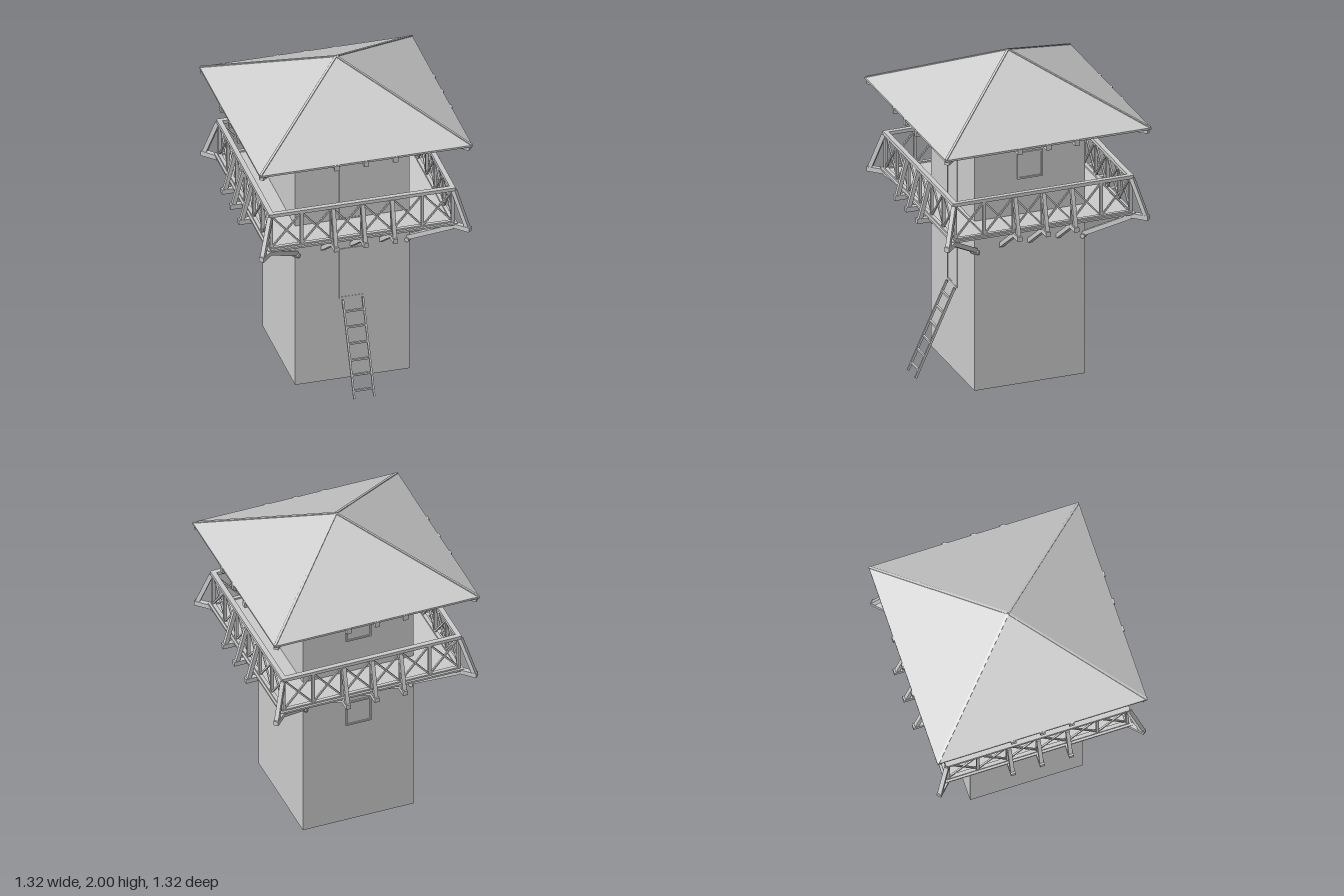
import * as THREE from 'three';

const stone = new THREE.MeshStandardMaterial({ color: 0xcccccc, flatShading: true });
stone.name = 'plain grey';

const V = (x, y, z) => new THREE.Vector3(x, y, z);

function add(parent, name, geometry) {
  const mesh = new THREE.Mesh(geometry, stone);
  mesh.name = name;
  parent.add(mesh);
  return mesh;
}

function block(parent, name, w, h, d, x, y, z) {
  const mesh = add(parent, name, new THREE.BoxGeometry(w, h, d));
  mesh.position.set(x, y, z);
  return mesh;
}

// Square-cut timber running from a to b
function beam(parent, name, a, b, w, h = w) {
  const mesh = add(parent, name, new THREE.BoxGeometry(w, h, a.distanceTo(b)));
  mesh.position.copy(a).add(b).multiplyScalar(0.5);
  mesh.lookAt(b);
  return mesh;
}

// Rectangular frame with a slightly recessed pane, on the +z wall
function opening(parent, name, y0, y1, depth) {
  const half = 0.08, rim = 0.01;
  const outline = (hw, lo, hi) => [[-hw, lo], [hw, lo], [hw, hi], [-hw, hi]].map(p => new THREE.Vector2(...p));
  const shape = new THREE.Shape(outline(half, y0, y1));
  shape.holes.push(new THREE.Path(outline(half - rim, y0 + rim, y1 - rim).reverse()));
  const frame = add(parent, name + 'Frame', new THREE.ExtrudeGeometry(shape, { depth, bevelEnabled: false }));
  frame.position.z = 0.35;
  block(parent, name + 'Pane', 2 * (half - rim), y1 - y0 - 2 * rim, 0.002, 0, (y0 + y1) / 2, 0.351);
}

// Everything that repeats on each of the four sides, built facing +z
function buildSide() {
  const side = new THREE.Group();
  side.name = 'towerSide';

  for (const x of [-0.18, 0, 0.18]) {
    block(side, 'roofRafter', 0.03, 0.035, 0.315, x, 1.637, 0.5);
    block(side, 'balconyJoist', 0.03, 0.03, 0.31, x, 1.073, 0.495);
    beam(side, 'balconyBrace', V(x, 0.91, 0.345), V(x, 1.065, 0.56), 0.026);
    beam(side, 'railingStrut', V(x, 1.08, 0.628), V(x, 1.31, 0.568), 0.024);
  }

  // Diagonal timbers at one corner
  block(side, 'cornerKnob', 0.001, 0.001, 0.001, 0.34, 0.89, 0.34);
  beam(side, 'cornerRafter', V(0.34, 1.637, 0.34), V(0.638, 1.637, 0.638), 0.03, 0.035);
  beam(side, 'cornerJoist', V(0.34, 1.073, 0.34), V(0.638, 1.073, 0.638), 0.03);
  beam(side, 'cornerBrace', V(0.335, 0.895, 0.335), V(0.56, 1.065, 0.56), 0.028);
  beam(side, 'cornerStrut', V(0.625, 1.085, 0.625), V(0.562, 1.31, 0.562), 0.026);
  const peg = side.getObjectByName('cornerKnob');
  peg.geometry = new THREE.CylinderGeometry(0.014, 0.014, 0.05, 8);
  peg.rotation.set(0, Math.PI / 4, Math.PI / 2);
  peg.position.set(0.345, 0.89, 0.345);

  // Railing with crossed bracing
  const z = 0.555, step = 0.185, lo = 1.095, hi = 1.31;
  block(side, 'topRail', 1.13, 0.022, 0.03, 0, 1.319, z);
  block(side, 'bottomRail', 1.13, 0.02, 0.022, 0, 1.092, z);
  for (let i = -3; i <= 3; i++) {
    const x = i * step;
    block(side, 'railingPost', 0.018, hi - lo, 0.018, x, (lo + hi) / 2, z);
    if (i === 3) continue;
    beam(side, 'crossBrace', V(x, lo, z), V(x + step, hi, z), 0.01);
    beam(side, 'crossBrace', V(x, hi, z - 0.004), V(x + step, lo, z - 0.004), 0.01);
  }

  // Balcony floor strip, mitred at both ends
  const strip = new THREE.Shape([[-0.35, 0.35], [-0.58, 0.58], [0.58, 0.58], [0.35, 0.35]]
    .map(p => new THREE.Vector2(...p)));
  const floor = add(side, 'balconyFloor', new THREE.ExtrudeGeometry(strip, { depth: 0.012, bevelEnabled: false }));
  floor.rotation.x = Math.PI / 2;
  floor.position.y = 1.092;

  // Hip cap along the roof edge
  beam(side, 'roofHip', V(0.645, 1.654, 0.645), V(0, 1.995, 0), 0.014, 0.014);
  return side;
}

export function createModel() {
  const model = new THREE.Group();
  model.name = 'watchtower';

  block(model, 'towerBody', 0.7, 1.645, 0.7, 0, 0.8225, 0);

  // Roof: thin eave slab and pyramid
  block(model, 'roofEave', 1.3, 0.012, 1.3, 0, 1.65, 0);
  const roof = add(model, 'roof', new THREE.ConeGeometry(0.65 * Math.SQRT2, 0.345, 4));
  roof.rotation.y = Math.PI / 4;
  roof.position.y = 1.655 + 0.1725;

  for (let i = 0; i < 4; i++) {
    const side = buildSide();
    side.rotation.y = i * Math.PI / 2;
    // Doors on the front, windows on the other walls
    if (i === 0) {
      opening(side, 'lowerDoor', 0.55, 0.89, 0.004);
      opening(side, 'upperDoor', 1.09, 1.48, 0.004);
    } else {
      opening(side, 'upperWindow', 1.32, 1.49, 0.009);
    }
    if (i === 2) opening(side, 'lowerWindow', 0.7, 0.87, 0.009);
    model.add(side);
  }

  // Leaning ladder
  const ladder = new THREE.Group();
  ladder.name = 'ladder';
  for (const x of [-0.061, 0.061]) {
    beam(ladder, 'ladderRail', V(x, 0.005, 0.608), V(x, 0.545, 0.362), 0.011, 0.014);
  }
  for (const y of [0.05, 0.135, 0.215, 0.305, 0.395, 0.48]) {
    block(ladder, 'ladderRung', 0.12, 0.012, 0.012, 0, y, 0.608 - (y - 0.005) * 0.4556);
  }
  model.add(ladder);
  return model;
}
